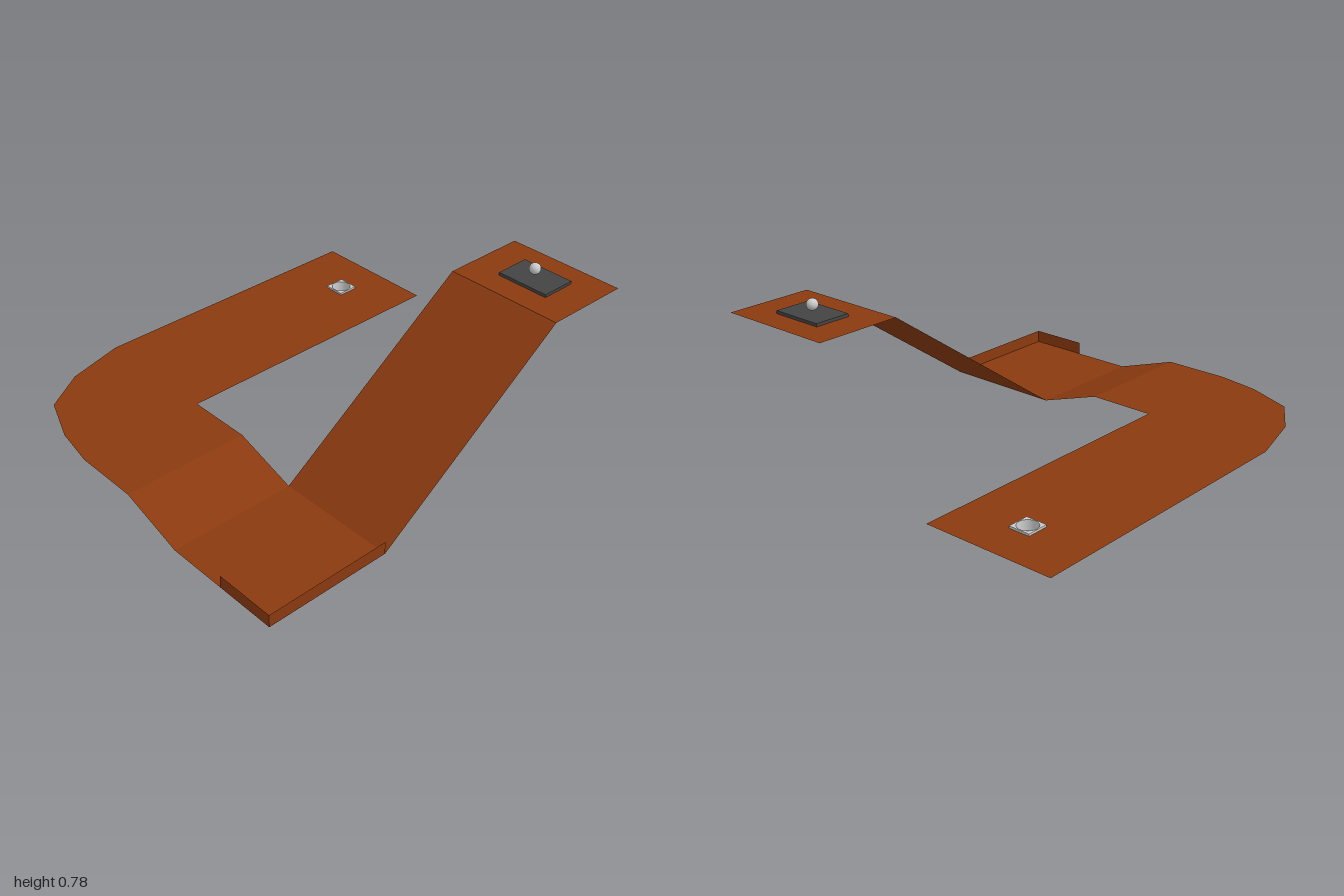
import * as THREE from 'three';

const wood = new THREE.MeshStandardMaterial({ color: 0x8b3a0f, side: THREE.DoubleSide, flatShading: true });
const grey = new THREE.MeshStandardMaterial({ color: 0xcccccc, side: THREE.DoubleSide });
const dark = new THREE.MeshStandardMaterial({ color: 0x444444 });

const CUP = { x: -0.59, z: -0.77, half: 0.05, top: 0.14 };

function add(parent, name, geometry, material, x = 0, y = 0, z = 0) {
  const mesh = new THREE.Mesh(geometry, material);
  mesh.name = name;
  mesh.position.set(x, y, z);
  parent.add(mesh);
  return mesh;
}

// Thin four-cornered panel, corners counter-clockwise seen from its front
function panel(a, b, c, d) {
  const g = new THREE.BufferGeometry();
  g.setAttribute('position', new THREE.Float32BufferAttribute([a, b, c, a, c, d].flat(), 3));
  g.computeVertexNormals();
  return g;
}

// Square outline given in plan (shape y is -z)
function square(ShapeType, x, y, h) {
  const s = new ShapeType();
  s.moveTo(x - h, y - h);
  s.lineTo(x + h, y - h);
  s.lineTo(x + h, y + h);
  s.lineTo(x - h, y + h);
  s.closePath();
  return s;
}

export function createModel() {
  const root = new THREE.Group();
  root.name = 'golfLane';

  // Starting platform, ramp, low landing and short rise
  const x0 = 0.33, x1 = 0.9, low = 0.03, mid = 0.13, high = 0.7;
  add(root, 'startPlatform', panel([x0, high, -0.55], [x1, high, -0.55], [x1, high, -0.96], [x0, high, -0.96]), wood);
  add(root, 'ramp', panel([x0, low, 0.4], [x1, low, 0.4], [x1, high, -0.55], [x0, high, -0.55]), wood);
  add(root, 'landing', panel([x0, low, 1], [x1, low, 1], [x1, low, 0.4], [x0, low, 0.4]), wood);
  add(root, 'rise', panel([0.03, mid, 1], [x0, low, 1], [x0, low, 0.4], [0.03, mid, 0.4]), wood);

  // Low walls round the outer corner of the landing
  add(root, 'sideWall', panel([x1, low, 1], [x1, low, 0.4], [x1, 0.09, 0.4], [x1, 0.09, 1]), wood);
  add(root, 'frontWall', panel([0.615, low, 1], [x1, low, 1], [x1, 0.09, 1], [0.615, 0.09, 1]), wood);

  // Upper lane with a faceted outer bend and an opening for the cup
  const outline = [
    [-0.9, -1], [-0.9, 0.4], [-0.825, 0.68], [-0.7, 0.875], [-0.48, 0.965], [-0.28, 1],
    [0.03, 1], [0.03, 0.4], [-0.28, 0.4], [-0.28, -1],
  ].map(([x, z]) => new THREE.Vector2(x, -z));
  const lane = new THREE.Shape(outline);
  lane.holes.push(square(THREE.Path, CUP.x, -CUP.z, CUP.half));
  add(root, 'bendLane', new THREE.ShapeGeometry(lane).rotateX(-Math.PI / 2), wood, 0, mid, 0);

  // Cup: square block with a tapered round recess
  const cup = new THREE.Group();
  cup.name = 'cup';
  cup.position.set(CUP.x, 0, CUP.z);
  root.add(cup);
  const floor = 0.02;
  const block = square(THREE.Shape, 0, 0, CUP.half);
  block.holes.push(new THREE.Path().absarc(0, 0, 0.045, 0, Math.PI * 2, true));
  add(cup, 'cupBlock', new THREE.ExtrudeGeometry(block, { depth: CUP.top - floor, bevelEnabled: false, curveSegments: 32 })
    .rotateX(-Math.PI / 2), grey, 0, floor, 0);
  add(cup, 'cupBase', new THREE.BoxGeometry(CUP.half * 2, floor, CUP.half * 2), grey, 0, floor / 2, 0);
  add(cup, 'cupLining', new THREE.LatheGeometry(
    [new THREE.Vector2(0.036, floor), new THREE.Vector2(0.0445, CUP.top)], 32), grey);

  // Tee mat and ball
  add(root, 'teeMat', new THREE.BoxGeometry(0.255, 0.014, 0.17), dark, 0.615, high + 0.007, -0.757);
  add(root, 'ball', new THREE.SphereGeometry(0.026, 24, 16), grey, 0.608, 0.75, -0.76);

  return root;
}
